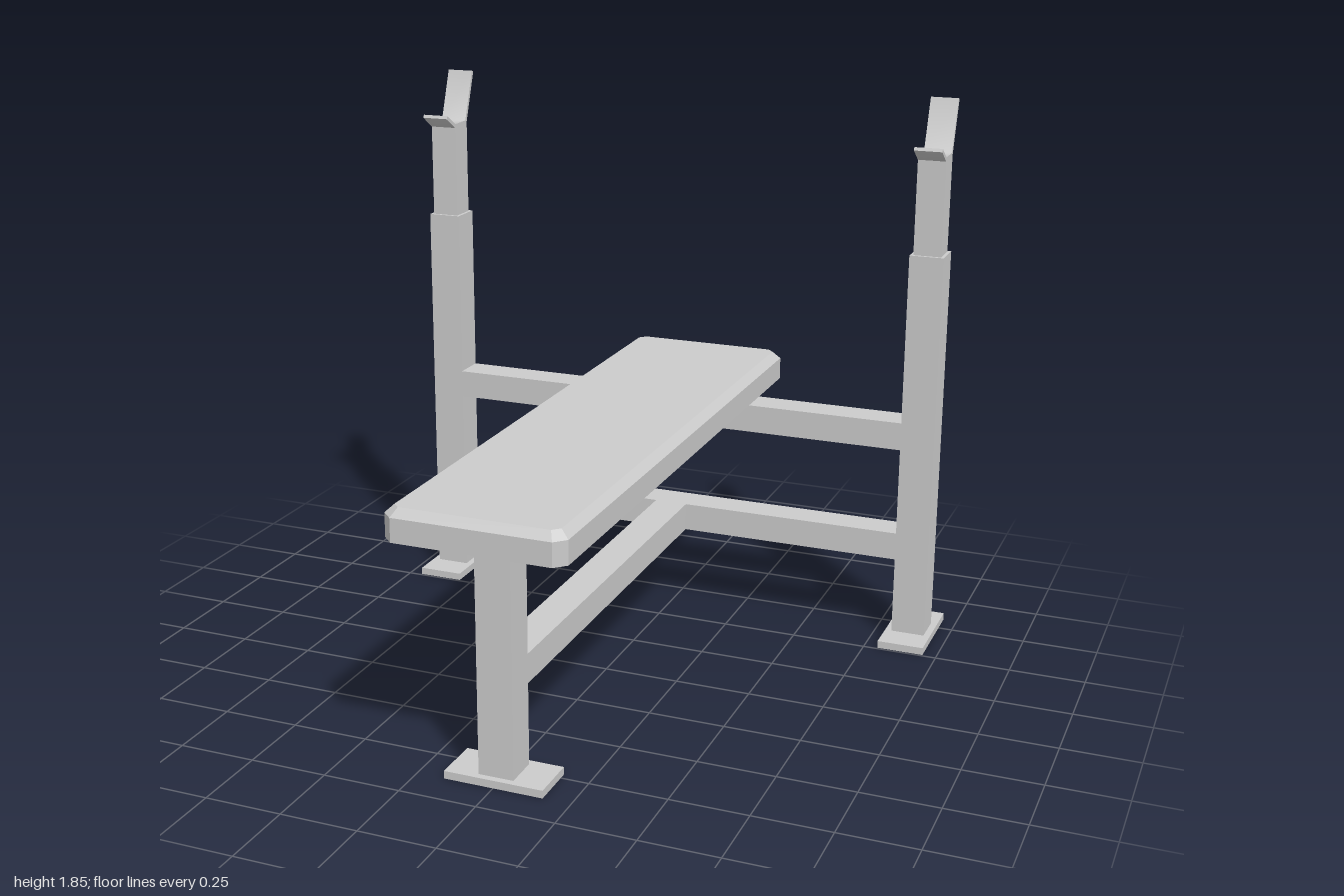
import * as THREE from 'three';
import { toCreasedNormals } from 'three/addons/utils/BufferGeometryUtils.js';

const material = new THREE.MeshStandardMaterial({ color: 0xcccccc, side: THREE.DoubleSide });

function add(parent, name, geometry, x = 0, y = 0, z = 0) {
  const mesh = new THREE.Mesh(geometry, material);
  mesh.name = name;
  mesh.position.set(x, y, z);
  parent.add(mesh);
  return mesh;
}

// Box given by its lower and upper corners
function bar(parent, name, [x0, y0, z0], [x1, y1, z1]) {
  return add(parent, name, new THREE.BoxGeometry(x1 - x0, y1 - y0, z1 - z0),
    (x0 + x1) / 2, (y0 + y1) / 2, (z0 + z1) / 2);
}

function rectPoints(w, d) {
  return [[-w, -d], [w, -d], [w, d], [-w, d]].map(([x, y]) => new THREE.Vector2(x / 2, y / 2));
}

// Upright rectangular ring with an open centre, standing on y = 0
function hollow(w, d, innerW, innerD, height) {
  const shape = new THREE.Shape(rectPoints(w, d));
  shape.holes.push(new THREE.Path(rectPoints(innerW, innerD).reverse()));
  return new THREE.ExtrudeGeometry(shape, { depth: height, bevelEnabled: false }).rotateX(-Math.PI / 2);
}

// Foot plate: a rim below a thin top that is open under the tube
function foot(parent, name, w, d, x, z) {
  const group = new THREE.Group();
  group.name = name;
  group.position.set(x, 0, z);
  add(group, 'footRim', hollow(w, d, w - 0.035, d - 0.035, 0.017));
  add(group, 'footTop', hollow(w, d, 0.1, 0.1, 0.008), 0, 0.017, 0);
  parent.add(group);
}

// Cushion: chamfered rectangle rings lofted upwards, closed by flat ends
function cushionGeometry() {
  const ring = (w, d, c, y) => [
    [w, d - c], [w, -d + c], [w - c, -d], [-w + c, -d],
    [-w, -d + c], [-w, d - c], [-w + c, d], [w - c, d],
  ].map(([x, z]) => [x, y, z]);
  const rings = [ring(0.283, 1, 0.034, 0.78), ring(0.283, 1, 0.034, 0.855), ring(0.257, 0.974, 0.022, 0.88)];
  const p = [];
  for (let r = 0; r < 2; r++) {
    for (let i = 0; i < 8; i++) {
      const j = (i + 1) % 8;
      const a = rings[r][i], b = rings[r][j], c = rings[r + 1][j], d = rings[r + 1][i];
      p.push(...a, ...b, ...c, ...a, ...c, ...d);
    }
  }
  for (let i = 1; i < 7; i++) {
    p.push(...rings[2][0], ...rings[2][i], ...rings[2][i + 1]);
    p.push(...rings[0][0], ...rings[0][i + 1], ...rings[0][i]);
  }
  const g = new THREE.BufferGeometry();
  g.setAttribute('position', new THREE.Float32BufferAttribute(p, 3));
  g.computeVertexNormals();
  return g;
}

// Bar rest: bent sheet profile in (z, y), extruded across x and softly shaded
function restGeometry(width) {
  const profile = [
    [-0.775, 1.85], [-0.712, 1.675], [-0.62, 1.67], [-0.558, 1.71],
    [-0.563, 1.72], [-0.623, 1.683], [-0.703, 1.685], [-0.764, 1.853],
  ].map(([z, y]) => new THREE.Vector2(z, y));
  const g = new THREE.ExtrudeGeometry(new THREE.Shape(profile), { depth: width, bevelEnabled: false });
  g.rotateY(-Math.PI / 2).translate(width / 2, 0, 0);
  return toCreasedNormals(g, 1.35);
}

export function createModel() {
  const model = new THREE.Group();
  model.name = 'weightBench';

  // Cushion
  add(model, 'cushion', cushionGeometry());

  // Rear uprights with telescoping tubes and bar rests
  const backZ = -0.667;
  for (const [side, s] of [['left', 1], ['right', -1]]) {
    const upright = new THREE.Group();
    upright.name = side + 'Upright';
    const x = s * 0.875;
    foot(upright, side + 'Foot', 0.157, 0.32, x, backZ);
    add(upright, 'outerTube', hollow(0.113, 0.113, 0.1, 0.1, 1.33), x, 0.025, backZ);
    add(upright, 'outerTubeShoulder', hollow(0.113, 0.113, 0.09, 0.09, 0.005), x, 1.351, backZ);
    bar(upright, 'innerTube', [x - 0.046, 1.25, backZ - 0.046], [x + 0.046, 1.68, backZ + 0.046]);
    add(upright, 'barRest', restGeometry(0.092), x, 0, 0);
    model.add(upright);
  }

  // Front leg
  foot(model, 'frontFoot', 0.32, 0.157, 0, 0.805);
  add(model, 'frontLeg', hollow(0.113, 0.113, 0.1, 0.1, 0.755), 0, 0.025, 0.805);

  // Upper and lower rails: one across, one running forwards
  for (const [level, y] of [['lower', 0.29], ['upper', 0.685]]) {
    bar(model, level + 'CrossRail', [-0.82, y, backZ - 0.0565], [0.82, y + 0.095, backZ + 0.0565]);
    bar(model, level + 'CentreRail', [-0.0565, y, backZ + 0.0565], [0.0565, y + 0.095, 0.749]);
  }
  return model;
}
